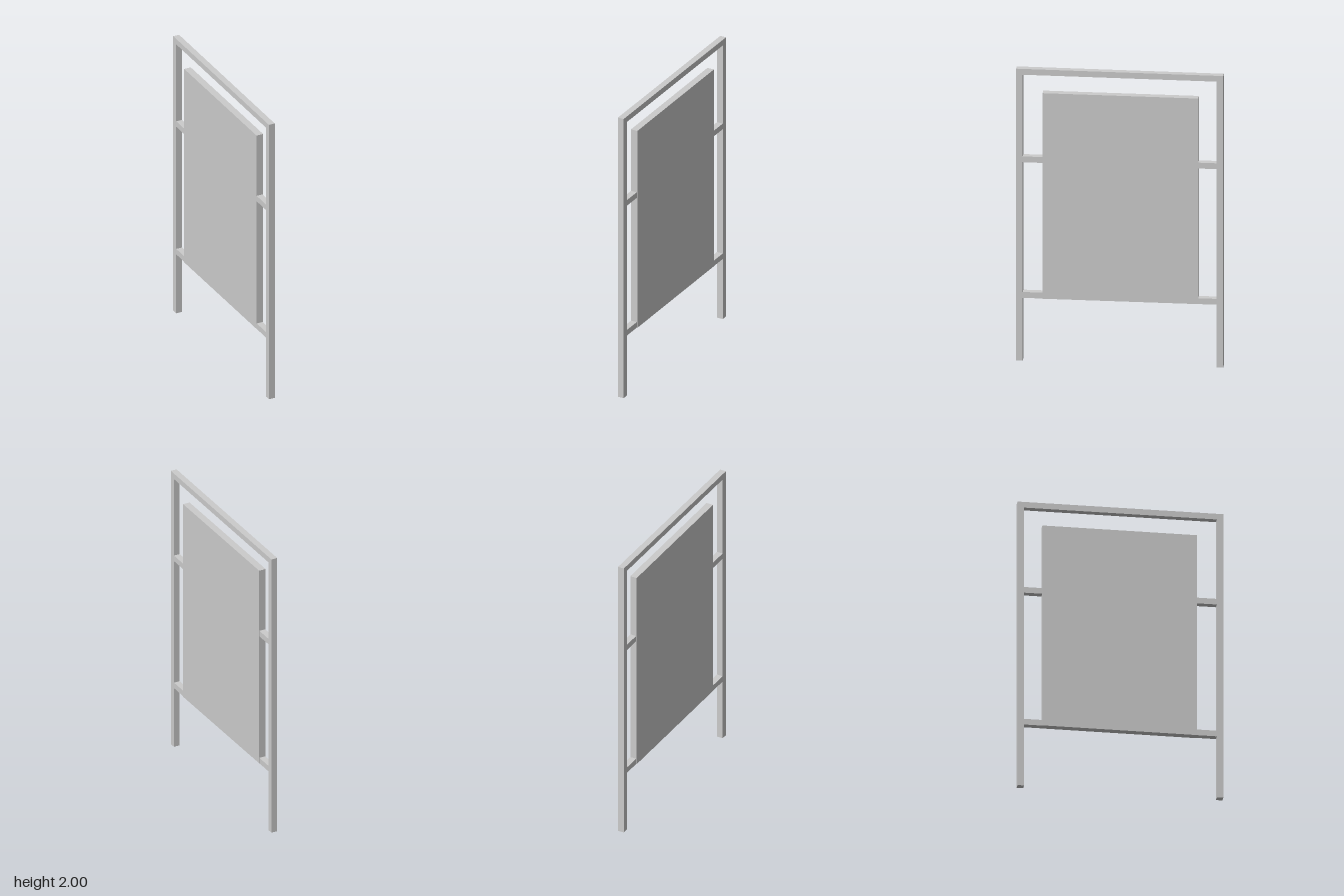
import * as THREE from 'three';

const BAR = 0.042;

export function createModel() {
  const model = new THREE.Group();
  model.name = 'signStand';
  const material = new THREE.MeshStandardMaterial({ color: 0xcccccc, flatShading: true });

  const addBox = (parent, name, size, position) => {
    const mesh = new THREE.Mesh(new THREE.BoxGeometry(...size), material);
    mesh.name = name;
    mesh.position.set(...position);
    parent.add(mesh);
  };

  // Square-tube frame, turned very slightly against the panel
  const frame = new THREE.Group();
  frame.name = 'frame';
  frame.rotation.y = -0.003;
  model.add(frame);

  // Upright posts
  for (const [name, side] of [['frontPost', 1], ['backPost', -1]]) {
    addBox(frame, name, [BAR, 1.96, BAR], [0, 0.98, side * 0.644]);
  }

  // Top rail caps both posts
  addBox(frame, 'topRail', [BAR, 0.04, 1.33], [0, 1.98, 0]);

  // Cross rails run between the posts and carry the panel
  for (const [name, y] of [['middleRail', 1.38], ['bottomRail', 0.45]]) {
    addBox(frame, name, [BAR, 0.04, 1.246], [0, y, 0]);
  }

  // Display panel
  addBox(model, 'panel', [0.047, 1.41, 1.0], [0, 1.135, -0.005]);

  return model;
}
